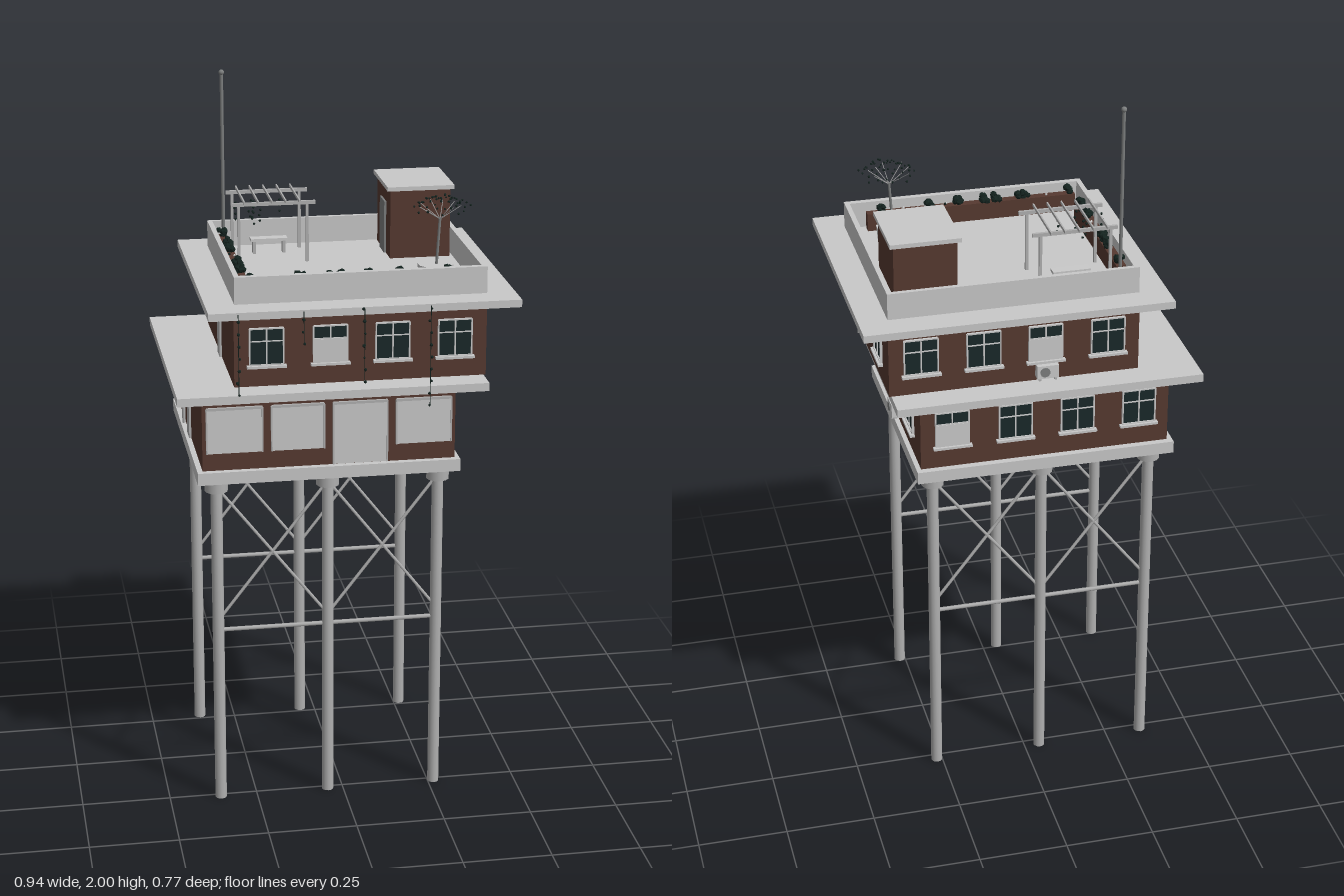
import * as THREE from 'three';
import { mergeGeometries } from 'three/addons/utils/BufferGeometryUtils.js';

const mat = (name, color) => {
  const m = new THREE.MeshStandardMaterial({ color });
  m.name = name;
  return m;
};

export function createModel() {
  const root = new THREE.Group();
  root.name = 'stiltHouse';
  const concrete = mat('concrete', 0xc8c8c8);
  const steel = mat('steel', 0xb0b0b0);
  const brick = mat('brick', 0x563930);
  const glass = mat('glass', 0x1a2829);
  const shutter = mat('shutter', 0xcacaca);
  const darkMetal = mat('darkMetal', 0x7c7e7e);
  const foliage = mat('foliage', 0x14231f);

  let seed = 7;
  const rnd = () => (seed = (seed * 16807) % 2147483647) / 2147483647;
  const add = (name, geo, m, x = 0, y = 0, z = 0, parent = root) => {
    const mesh = new THREE.Mesh(geo, m);
    mesh.name = name;
    mesh.position.set(x, y, z);
    parent.add(mesh);
    return mesh;
  };
  // Box given by its limits on each axis
  const span = (name, m, x0, x1, y0, y1, z0, z1, parent = root) =>
    add(name, new THREE.BoxGeometry(x1 - x0, y1 - y0, z1 - z0), m,
      (x0 + x1) / 2, (y0 + y1) / 2, (z0 + z1) / 2, parent);
  // Round bar between two points
  const rod = (name, m, a, b, r, sides = 6) => {
    const p = new THREE.Vector3(...a), q = new THREE.Vector3(...b);
    const mesh = add(name, new THREE.CylinderGeometry(r, r, p.distanceTo(q), sides), m);
    mesh.position.copy(p).lerp(q, 0.5);
    mesh.quaternion.setFromUnitVectors(new THREE.Vector3(0, 1, 0), q.sub(p).normalize());
    return mesh;
  };
  // Many little tufts merged into one mesh; each point is [x, y, z, radius]
  const leaves = (name, pts, m = foliage) => add(name, mergeGeometries(pts.map(([x, y, z, r]) =>
    new THREE.IcosahedronGeometry(r, 0).rotateX(rnd() * 3).rotateY(rnd() * 3).translate(x, y, z))), m);

  // Columns with capitals
  const colX = [-0.354, -0.044, 0.266], colZ = [0.262, -0.27];
  for (const z of colZ) {
    for (const x of colX) {
      add('column', new THREE.CylinderGeometry(0.0165, 0.0165, 0.95, 12), steel, x, 0.475, z);
      add('columnCapital', new THREE.CylinderGeometry(0.032, 0.032, 0.04, 12), steel, x, 0.96, z);
    }
    // Cross bracing and tie bar
    for (let i = 0; i < 2; i++) {
      rod('crossBrace', steel, [colX[i], 0.95, z], [colX[i + 1], 0.55, z], 0.0045);
      rod('crossBrace', steel, [colX[i], 0.55, z], [colX[i + 1], 0.95, z], 0.0045);
    }
    rod('tieBar', steel, [colX[0], 0.522, z], [colX[2], 0.522, z], 0.006);
  }

  // Floors and slabs
  span('deckSlab', concrete, -0.41, 0.318, 0.977, 1.012, -0.327, 0.318);
  span('lowerStorey', brick, -0.395, 0.305, 1.012, 1.225, -0.308, 0.3);
  span('lowerCornice', concrete, -0.4, 0.31, 1.205, 1.213, -0.313, 0.303);
  span('middleSlab', concrete, -0.468, 0.382, 1.225, 1.248, -0.387, 0.374);
  span('upperStorey', brick, -0.305, 0.388, 1.248, 1.458, -0.308, 0.3);
  span('roofSlab', concrete, -0.381, 0.467, 1.458, 1.479, -0.387, 0.374);

  // Dentils along the wall heads
  const dentils = (x0, x1, y) => {
    const g = [];
    const put = (x, z) => g.push(new THREE.BoxGeometry(0.007, 0.007, 0.007).translate(x, y, z));
    for (let x = x0 + 0.01; x < x1; x += 0.025) { put(x, 0.303); put(x, -0.311); }
    for (let z = -0.29; z < 0.3; z += 0.025) { put(x0 - 0.003, z); put(x1 + 0.003, z); }
    add('dentils', mergeGeometries(g), concrete);
  };
  dentils(-0.395, 0.305, 1.2215);
  dentils(-0.305, 0.388, 1.4545);

  // Parapet
  const ring = new THREE.Shape([[-0.302, -0.297], [0.388, -0.297], [0.388, 0.31], [-0.302, 0.31]].map(p => new THREE.Vector2(...p)));
  ring.holes.push(new THREE.Path([[-0.288, -0.28], [-0.288, 0.297], [0.374, 0.297], [0.374, -0.28]].map(p => new THREE.Vector2(...p))));
  add('parapet', new THREE.ExtrudeGeometry(ring, { depth: 0.075, bevelEnabled: false }).rotateX(-Math.PI / 2), concrete, 0, 1.479, 0);

  // Wall-mounted items are built facing +z, then turned to their wall
  const wallGroup = (name, side, u, y, wall) => {
    const g = new THREE.Group();
    g.name = name;
    g.rotation.y = { front: 0, right: Math.PI / 2, back: Math.PI, left: -Math.PI / 2 }[side];
    if (side === 'front' || side === 'back') g.position.set(u, y, wall);
    else g.position.set(wall, y, u);
    root.add(g);
    return g;
  };
  const windowUnit = (side, u, y, wall, blind) => {
    const g = wallGroup('window', side, u, y, wall), w = 0.046, h = 0.051;
    span('windowPane', glass, -w, w, -h, h, 0, 0.003, g);
    if (blind) span('windowBlind', shutter, -w, w, -h, 0.014, 0.003, 0.007, g);
    for (const s of [-1, 1]) {
      span('windowFrame', shutter, s * w - 0.002, s * w + 0.002, -h, h, 0, 0.007, g);
      span('windowFrame', shutter, -w, w, s * h - 0.002, s * h + 0.002, 0, 0.007, g);
    }
    span('windowMullion', shutter, -0.002, 0.002, -h, h, 0, 0.006, g);
    span('windowTransom', shutter, -w, w, 0.014, 0.017, 0, 0.006, g);
    span('windowSill', concrete, -0.054, 0.054, -0.059, -0.052, 0, 0.014, g);
  };
  const upY = 1.36, lowY = 1.13;
  for (const [i, x] of [-0.217, -0.043, 0.128, 0.3].entries()) {
    windowUnit('front', x, upY, 0.3, i === 1);
    windowUnit('back', x, upY, -0.308, i === 1);
  }
  for (const [i, x] of [-0.31, -0.135, 0.04, 0.217].entries()) windowUnit('back', x, lowY, -0.308, i === 3);
  for (const [i, z] of [0.167, -0.003, -0.179].entries()) {
    windowUnit('right', z, upY, 0.388, i === 0);
    windowUnit('right', z, lowY, 0.305, false);
  }

  // Shop front: three shutters and an entrance
  for (const [x0, x1, y0] of [[-0.383, -0.23, 1.062], [-0.205, -0.06, 1.062], [-0.035, 0.115, 1.014], [0.14, 0.293, 1.062]]) {
    span('shopShutter', shutter, x0, x1, y0, 1.19, 0.3, 0.305);
    span('shutterRail', steel, x0, x1, 1.186, 1.193, 0.3, 0.308);
    for (const x of [x0, x1]) span('shutterJamb', steel, x - 0.002, x + 0.002, y0, 1.19, 0.3, 0.308);
  }

  // Side doors
  for (const [wall, y] of [[-0.395, 1.09], [-0.305, 1.326]]) {
    const g = wallGroup('sideDoor', 'left', 0, y, wall);
    span('doorLeaf', steel, -0.027, 0.027, -0.078, 0.075, 0, 0.006, g);
    span('doorHead', concrete, -0.032, 0.032, 0.075, 0.082, 0, 0.01, g);
  }

  // Drain pipes
  rod('drainPipe', steel, [0.394, 1.248, 0.083], [0.394, 1.458, 0.083], 0.005, 8);
  rod('drainPipe', steel, [0.311, 1.012, 0.083], [0.311, 1.225, 0.083], 0.005, 8);
  rod('drainPipe', steel, [-0.401, 1.012, -0.11], [-0.401, 1.225, -0.11], 0.005, 8);

  // Air conditioners
  for (const [side, u, y, wall] of [['right', -0.003, 1.046, 0.305], ['back', -0.045, 1.28, -0.308]]) {
    const g = wallGroup('airConditioner', side, u, y, wall);
    span('unitBody', shutter, -0.03, 0.03, -0.019, 0.019, 0, 0.024, g);
    add('unitFan', new THREE.CylinderGeometry(0.014, 0.014, 0.003, 14).rotateX(Math.PI / 2), darkMetal, -0.008, 0, 0.0245, g);
    for (const x of [-0.022, 0.022]) span('unitBracket', steel, x - 0.003, x + 0.003, -0.025, -0.019, 0, 0.024, g);
  }

  // Stair house on the roof
  span('stairHouse', brick, 0.193, 0.365, 1.479, 1.676, -0.288, -0.088);
  span('stairHouseCap', concrete, 0.183, 0.375, 1.676, 1.688, -0.298, -0.078);
  span('stairHouseDoor', darkMetal, 0.187, 0.193, 1.479, 1.63, -0.22, -0.15);

  // Planters with shrubs and pale flowers
  span('sidePlanter', brick, -0.284, -0.257, 1.479, 1.53, -0.24, 0.19);
  span('frontPlanter', brick, -0.275, 0.33, 1.479, 1.53, 0.247, 0.272);
  const shrubs = [], flowers = [];
  const shrub = (x, z) => {
    for (let i = 0; i < 9; i++)
      shrubs.push([x + (rnd() - 0.5) * 0.017, 1.534 + rnd() * 0.014, z + (rnd() - 0.5) * 0.017, 0.008 + rnd() * 0.003]);
  };
  for (const z of [-0.22, -0.122, -0.085, -0.045, 0.08, 0.125, 0.17]) shrub(-0.27, z);
  for (const x of [-0.26, -0.13, -0.115, -0.045, -0.01, 0.065, 0.15, 0.29]) shrub(x, 0.259);
  for (let i = 0; i < 10; i++) {
    const list = i % 2 ? shrubs : flowers;
    list.push([-0.25 + rnd() * 0.56, 1.533, 0.25 + rnd() * 0.02, 0.004]);
    list.push([-0.279 + rnd() * 0.018, 1.533, -0.23 + rnd() * 0.4, 0.004]);
  }
  leaves('shrubs', shrubs);
  leaves('flowers', flowers, shutter);

  // Pergola with bench and climbers
  for (const z of [-0.247, -0.1]) {
    for (const x of [-0.237, -0.043]) span('pergolaPost', steel, x - 0.004, x + 0.004, 1.479, 1.645, z - 0.004, z + 0.004);
    span('pergolaBeam', steel, -0.255, -0.02, 1.645, 1.655, z - 0.004, z + 0.004);
  }
  for (let i = 0; i < 5; i++) {
    const x = -0.223 + i * 0.039;
    span('pergolaSlat', steel, x - 0.002, x + 0.002, 1.655, 1.663, -0.27, -0.077);
  }
  span('benchSeat', shutter, -0.19, -0.085, 1.515, 1.523, -0.225, -0.195);
  for (const x of [-0.18, -0.095]) span('benchLeg', steel, x - 0.004, x + 0.004, 1.479, 1.515, -0.222, -0.198);
  const climbers = [];
  for (const [x, z, n] of [[-0.24, -0.147, 4], [-0.19, -0.147, 5], [-0.19, -0.165, 4], [-0.175, -0.118, 4], [-0.205, -0.107, 3], [-0.115, -0.16, 3]])
    for (let i = 0; i < n; i++) climbers.push([x + (rnd() - 0.5) * 0.006, 1.645 - i * 0.016, z + (rnd() - 0.5) * 0.006, 0.004]);
  leaves('pergolaClimbers', climbers);

  // Vines hanging from the roof edge
  const vine = [];
  for (const [x, y0] of [[-0.302, 1.25], [-0.126, 1.385], [0.038, 1.27], [0.218, 1.195]]) {
    rod('vineStem', foliage, [x, 1.475, 0.376], [x, y0, 0.376], 0.001, 4);
    for (let y = y0; y < 1.475; y += 0.034)
      vine.push([x + (rnd() - 0.5) * 0.008, y, 0.376 + (rnd() - 0.5) * 0.004, 0.0035 + rnd() * 0.002]);
  }
  leaves('vineLeaves', vine);

  // Potted tree with sparse crown
  add('treePot', new THREE.CylinderGeometry(0.05, 0.045, 0.05, 10), concrete, 0.273, 1.504, 0.158);
  rod('treeTrunk', darkMetal, [0.275, 1.52, 0.16], [0.283, 1.66, 0.163], 0.004);
  const crown = [];
  for (let i = 0; i < 9; i++) {
    const a = i * 0.7 + rnd() * 0.3, r = 0.045 + rnd() * 0.03;
    rod('treeBranch', steel, [0.283, 1.655, 0.163], [0.283 + r * Math.cos(a), 1.695, 0.163 + r * Math.sin(a)], 0.001, 4);
  }
  for (let i = 0; i < 46; i++) {
    const a = i * 2.4, r = 0.082 * Math.sqrt((i + 0.5) / 46);
    crown.push([0.287 + r * Math.cos(a), 1.722 - r * r * 4 - rnd() * 0.014, 0.163 + r * Math.sin(a), 0.0027 + rnd() * 0.0013]);
  }
  leaves('treeCrown', crown);

  // Mast
  add('mast', new THREE.CylinderGeometry(0.005, 0.005, 0.513, 8), darkMetal, -0.26, 1.7355, -0.266);
  add('mastBall', new THREE.SphereGeometry(0.008, 12, 8), darkMetal, -0.26, 1.992, -0.266);
  return root;
}
